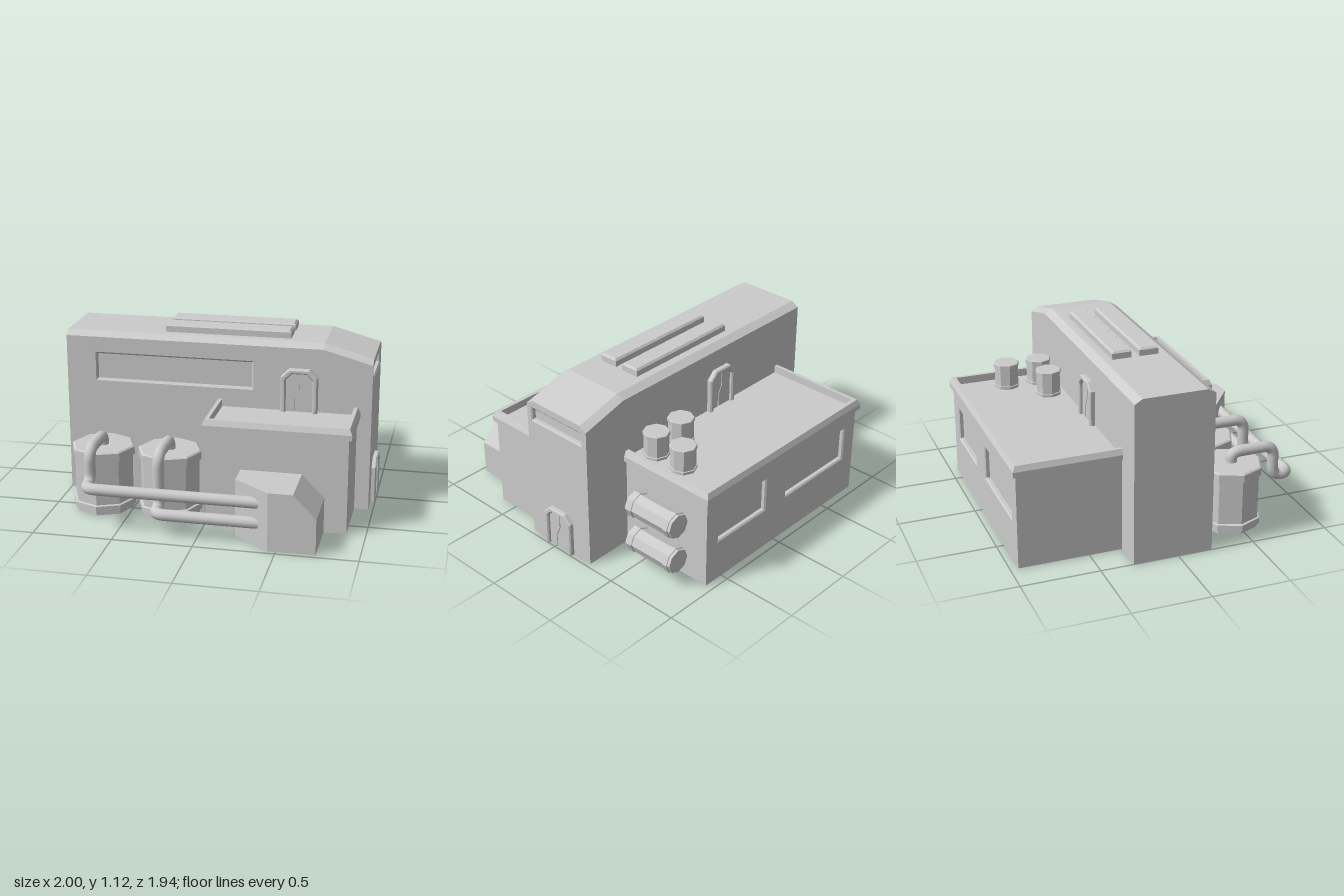
import * as THREE from 'three';
import { ConvexGeometry } from 'three/addons/geometries/ConvexGeometry.js';

const flat = new THREE.MeshStandardMaterial({ color: 0xcccccc, flatShading: true, side: THREE.DoubleSide });
const smooth = new THREE.MeshStandardMaterial({ color: 0xcccccc, side: THREE.DoubleSide });

function add(parent, name, geometry, material = flat) {
  const mesh = new THREE.Mesh(geometry, material);
  mesh.name = name;
  parent.add(mesh);
  return mesh;
}

function group(parent, name, x = 0, y = 0, z = 0, turn = 0) {
  const g = new THREE.Group();
  g.name = name;
  g.position.set(x, y, z);
  g.rotation.y = turn;
  parent.add(g);
  return g;
}

const shapeOf = pts => new THREE.Shape(pts.map(p => new THREE.Vector2(p[0], p[1])));
const rect = (x0, y0, x1, y1) => [[x0, y0], [x1, y0], [x1, y1], [x0, y1]];

// Skin between successive rings of [x, y, z] points
function loft(rings, closed = false) {
  const pos = [];
  for (let i = 0; i < rings.length - 1; i++) {
    const n = rings[i].length;
    for (let j = 0; j < (closed ? n : n - 1); j++) {
      const k = (j + 1) % n;
      const a = rings[i][j], b = rings[i][k], c = rings[i + 1][k], d = rings[i + 1][j];
      pos.push(...a, ...b, ...c, ...a, ...c, ...d);
    }
  }
  const g = new THREE.BufferGeometry();
  g.setAttribute('position', new THREE.Float32BufferAttribute(pos, 3));
  g.computeVertexNormals();
  return g;
}

// Wall facing local +z, with bevelled recessed windows given as [x0, y0, x1, y1]
function wall(parent, name, outline, windows = []) {
  const shape = shapeOf(outline);
  windows.forEach(w => shape.holes.push(new THREE.Path(shapeOf(rect(...w)).getPoints())));
  add(parent, name, new THREE.ShapeGeometry(shape));
  for (const [x0, y0, x1, y1] of windows) {
    const ring = (o, z) => rect(x0 + o, y0 + o, x1 - o, y1 - o).map(p => [p[0], p[1], z]);
    add(parent, 'windowRecess', loft([ring(0, 0), ring(0.01, -0.008), ring(0.01, -0.03)], true));
    const pane = shapeOf(rect(x0 + 0.01, y0 + 0.01, x1 - 0.01, y1 - 0.01));
    add(parent, 'windowPane', new THREE.ShapeGeometry(pane)).position.z = -0.03;
  }
}

// Tall central hall with chamfered eaves and a sloping right end
function hall(root) {
  const g = group(root, 'mainHall');
  const side = [[-1, 0], [0.97, 0], [0.97, 0.955], [0.66, 1.04], [-1, 1.04]];
  wall(group(g, 'frontWall', 0, 0, 0.22), 'wall', side, [[-0.81, 0.75, 0.22, 0.94]]);
  wall(group(g, 'backWall', 0, 0, -0.29, Math.PI), 'wall', side.map(p => [-p[0], p[1]]).reverse());
  wall(group(g, 'rightEnd', 0.97, 0, 0, Math.PI / 2), 'wall',
    [[-0.22, 0], [0.29, 0], [0.29, 0.955], [0.24, 0.985], [-0.17, 0.985], [-0.22, 0.955]],
    [[-0.19, 0.84, 0.25, 0.94]]);
  wall(group(g, 'leftEnd', -1, 0, 0, -Math.PI / 2), 'wall',
    [[-0.29, 0], [0.22, 0], [0.22, 1.04], [0.17, 1.07], [-0.24, 1.07], [-0.29, 1.04]]);
  const section = (x, y) => [[x, y - 0.03, 0.22], [x, y, 0.17], [x, y, -0.24], [x, y - 0.03, -0.29]];
  add(g, 'roof', loft([section(0.97, 0.985), section(0.66, 1.07), section(-1, 1.07)]));
  add(g, 'base', new THREE.ShapeGeometry(shapeOf(rect(-1, -0.29, 0.97, 0.22)))).rotation.x = Math.PI / 2;

  // Bevelled slabs on the roof
  for (const z of [-0.127, 0.052]) {
    const ring = (o, y) => [[-0.37 + o, y, z + 0.063 - o], [0.44 - o, y, z + 0.063 - o],
      [0.44 - o, y, z - 0.063 + o], [-0.37 + o, y, z - 0.063 + o]];
    const slab = group(g, 'roofSlab');
    add(slab, 'slabSides', loft([ring(0, 1.06), ring(0, 1.108), ring(0.012, 1.12)], true));
    const top = add(slab, 'slabTop', new THREE.PlaneGeometry(0.786, 0.102));
    top.rotation.x = -Math.PI / 2;
    top.position.set(0.035, 1.12, z);
  }
}

// Low wing growing out of the hall along local +z, open underneath
function wing(root, name, x, z, turn, w, d, windows) {
  const g = group(root, name, x, 0, z, turn);
  wall(group(g, 'outerWall', 0, 0, d), 'wall', rect(-w / 2, 0, w / 2, 0.61), windows);
  wall(group(g, 'sideWall', w / 2, 0, 0, Math.PI / 2), 'wall', rect(-d, 0, 0, 0.61));
  wall(group(g, 'sideWall', -w / 2, 0, 0, -Math.PI / 2), 'wall', rect(0, 0, d, 0.61));
  const ring = (o, y) => [[-w / 2 - o, y, 0], [-w / 2 - o, y, d + o], [w / 2 + o, y, d + o], [w / 2 + o, y, 0]];
  add(g, 'parapet', loft([ring(0, 0.61), ring(0.02, 0.61), ring(0.02, 0.645), ring(0.004, 0.68),
    ring(-0.02, 0.68), ring(-0.02, 0.63)]));
  const floor = add(g, 'roofDeck', new THREE.PlaneGeometry(w - 0.04, d - 0.02));
  floor.rotation.x = -Math.PI / 2;
  floor.position.set(0, 0.63, (d - 0.02) / 2);
}

// Door with a chamfered arch frame and two leaves meeting in a jagged seam
function door(root, x, y, z, turn) {
  const g = group(root, 'door', x, y, z, turn);
  const arch = (w, h, c) => [[w, 0], [w, h - c], [w - c, h], [c - w, h], [-w, h - c], [-w, 0]];
  add(g, 'doorFrame', new THREE.ExtrudeGeometry(
    shapeOf([...arch(0.117, 0.285, 0.052), ...arch(0.085, 0.255, 0.04).reverse()]),
    { depth: 0.026, bevelThickness: 0.008, bevelSize: 0.008, bevelOffset: -0.008, bevelSegments: 1 }));
  const seam = [[-0.025, 0], [-0.025, 0.09], [0.005, 0.15], [0.005, 0.255]];
  const leaf = { depth: 0.012, bevelEnabled: false };
  add(g, 'doorLeaf', new THREE.ExtrudeGeometry(shapeOf(
    [[-0.085, 0], ...seam.map(p => [p[0] - 0.003, p[1]]), [-0.045, 0.255], [-0.085, 0.215]]), leaf));
  add(g, 'doorLeaf', new THREE.ExtrudeGeometry(shapeOf(
    [[0.085, 0], [0.085, 0.215], [0.045, 0.255], ...seam.map(p => [p[0] + 0.003, p[1]]).reverse()]), leaf));
}

// Eight-sided tank with a raised band near each end
function tank(root, name, x, y, z, scale = 1) {
  const profile = [[0, 0], [0.19, 0], [0.19, 0.02], [0.204, 0.025], [0.204, 0.062], [0.19, 0.067], [0.19, 0.355],
    [0.204, 0.36], [0.204, 0.41], [0.192, 0.418], [0, 0.418]];
  const mesh = add(root, name, new THREE.LatheGeometry(profile.map(p => new THREE.Vector2(...p)), 8));
  mesh.position.set(x, y, z);
  mesh.scale.setScalar(scale);
  return mesh;
}

// Round pipe through corner points, each corner rounded off
function pipe(root, corners, r = 0.075) {
  const pts = corners.map(c => new THREE.Vector3(...c));
  const path = new THREE.CurvePath();
  let from = pts[0];
  for (let i = 1; i < pts.length - 1; i++) {
    const toward = q => {
      const v = q.clone().sub(pts[i]);
      return v.setLength(Math.min(r, v.length() * 0.48)).add(pts[i]);
    };
    const a = toward(pts[i - 1]), b = toward(pts[i + 1]);
    path.add(new THREE.LineCurve3(from, a));
    path.add(new THREE.QuadraticBezierCurve3(a, pts[i], b));
    from = b;
  }
  path.add(new THREE.LineCurve3(from, pts[pts.length - 1]));
  add(root, 'pipe', new THREE.TubeGeometry(path, 140, 0.036, 14), smooth);
}

export function createModel() {
  const root = new THREE.Group();
  root.name = 'industrialBuilding';
  hall(root);
  wing(root, 'frontWing', 0.44, 0.22, 0, 0.88, 0.41, []);
  wing(root, 'rearWing', -0.08, -0.29, Math.PI, 1.44, 0.66,
    [[-0.62, 0.27, -0.17, 0.51], [0.02, 0.27, 0.62, 0.51]]);

  // Doors onto both roof decks and at ground level
  door(root, 0.515, 0.625, 0.22, 0);
  door(root, -0.215, 0.625, -0.29, Math.PI);
  door(root, 0.967, 0, -0.03, Math.PI / 2);

  // Large tanks, each feeding a pipe into the intake box
  for (const [x, y] of [[-0.695, 0.27], [-0.262, 0.14]]) {
    tank(root, 'largeTank', x, 0, 0.475);
    pipe(root, [[x, 0.4, 0.48], [x, 0.48, 0.48], [x, 0.48, 0.77], [x, y, 0.77], [x, y, 0.887], [0.385, y, 0.887]]);
  }
  for (const [x, z] of [[0.27, -0.4], [0.49, -0.4], [0.49, -0.62]]) tank(root, 'roofTank', x, 0.625, z, 0.42);

  // Horizontal tanks on the right side of the rear wing
  for (const y of [0.175, 0.432]) {
    const t = tank(root, 'sideTank', 0.745, y, -0.82);
    t.scale.set(0.42, 0.875, 0.42);
    t.rotation.x = Math.PI / 2;
  }

  // Intake box with a cut front corner and a sloped shoulder
  const plan = [[0.22, 0.63], [0.22, 0.79], [0.45, 0.97], [0.74, 0.97], [0.74, 0.63]];
  const points = plan.flatMap(([x, z]) => [new THREE.Vector3(x, 0, z), new THREE.Vector3(x, x > 0.7 ? 0.225 : 0.37, z)]);
  points.push(new THREE.Vector3(0.6, 0.37, 0.97), new THREE.Vector3(0.6, 0.37, 0.63));
  add(root, 'intakeBox', new ConvexGeometry(points));
  return root;
}
